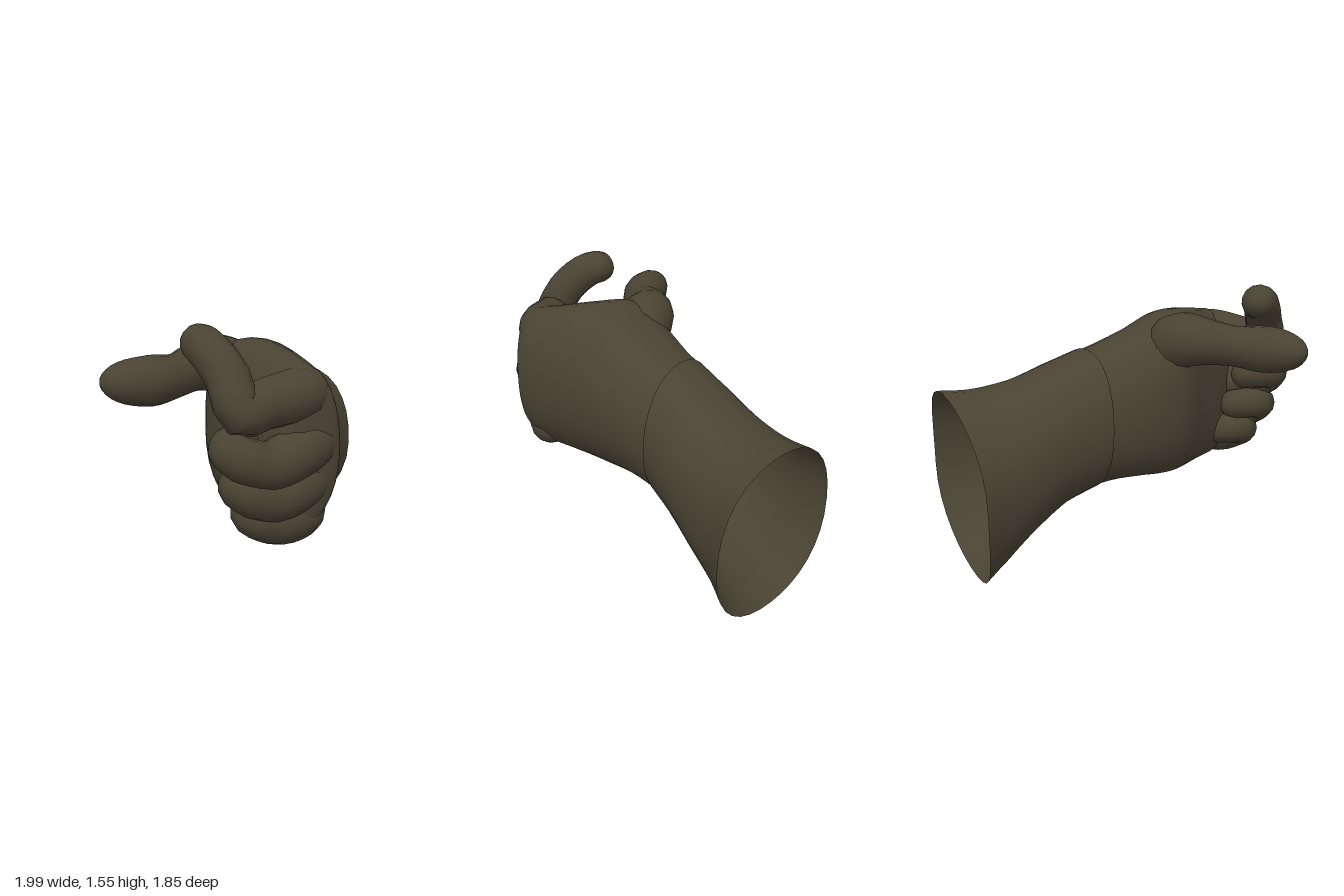
import * as THREE from 'three';

const leather = new THREE.MeshStandardMaterial({ color: 0x4a4333, side: THREE.DoubleSide });
leather.name = 'dark olive leather';

// Skin a list of closed rings (arrays of Vector3); optionally close the first and last ring
function skin(name, rings, capStart, capEnd) {
  const n = rings[0].length, pos = [], idx = [];
  rings.forEach(r => r.forEach(p => pos.push(p.x, p.y, p.z)));
  for (let i = 0; i < rings.length - 1; i++) {
    for (let j = 0; j < n; j++) {
      const a = i * n + j, b = i * n + (j + 1) % n;
      idx.push(a, b, a + n, b, b + n, a + n);
    }
  }
  const cap = (i, flip) => {
    const c = rings[i].reduce((s, p) => s.add(p), new THREE.Vector3()).divideScalar(n);
    const k = pos.length / 3;
    pos.push(c.x, c.y, c.z);
    for (let j = 0; j < n; j++) {
      const a = i * n + j, b = i * n + (j + 1) % n;
      flip ? idx.push(b, a, k) : idx.push(a, b, k);
    }
  };
  if (capStart) cap(0, true);
  if (capEnd) cap(rings.length - 1, false);
  const g = new THREE.BufferGeometry();
  g.setAttribute('position', new THREE.Float32BufferAttribute(pos, 3));
  g.setIndex(idx);
  g.computeVertexNormals();
  const m = new THREE.Mesh(g, leather);
  m.name = name;
  return m;
}

// Sections: [palm side x, z, back side x, z, bottom y, top y, shift of the top, shift of the bottom]
function sleeve(name, sections, power, steps, capEnd) {
  const curve = f => new THREE.CatmullRomCurve3(sections.map(f));
  const palm = curve(s => new THREE.Vector3(s[0], 0, s[1]));
  const back = curve(s => new THREE.Vector3(s[2], 0, s[3]));
  const high = curve(s => new THREE.Vector3(s[4], s[5], 0));
  const lean = curve(s => new THREE.Vector3(s[6], s[7], 0));
  const rings = [];
  const bend = v => Math.sign(v) * Math.pow(Math.abs(v), power);
  for (let i = 0; i <= steps; i++) {
    const t = i / steps;
    const l = palm.getPoint(t), r = back.getPoint(t), h = high.getPoint(t), s = lean.getPoint(t);
    const ring = [];
    for (let j = 0; j < 32; j++) {
      const a = j / 32 * Math.PI * 2, u = bend(Math.cos(a)), v = bend(Math.sin(a));
      const p = l.clone().lerp(r, 0.5 + u / 2);
      p.y = (h.x + h.y) / 2 + v * (h.y - h.x) / 2;
      p.x += v * v * (v > 0 ? s.x : s.y);
      ring.push(p);
    }
    rings.push(ring);
  }
  return skin(name, rings, false, capEnd);
}

// Round-ended finger through points [x, y, z, radius]
function finger(name, pts) {
  const steps = 30, n = 14;
  const curve = new THREE.CatmullRomCurve3(pts.map(p => new THREE.Vector3(p[0], p[1], p[2])));
  const radius = new THREE.CatmullRomCurve3(pts.map((p, i) => new THREE.Vector3(i, p[3], 0)));
  const rings = [], length = curve.getLength();
  let side = new THREE.Vector3(0.1, 1, 0.2);
  for (let i = 0; i <= steps; i++) {
    const t = (1 - Math.cos(i / steps * Math.PI)) / 2;
    const c = curve.getPoint(t), d = curve.getTangent(t), r0 = radius.getPoint(t).y;
    side = side.clone().addScaledVector(d, -side.dot(d)).normalize();
    const up = d.clone().cross(side);
    const e = Math.min(1, Math.min(t, 1 - t) * length / r0);
    const r = r0 * Math.sqrt(Math.max(0.002, 1 - (1 - e) * (1 - e)));
    rings.push(Array.from({ length: n }, (_, j) => {
      const a = j / n * Math.PI * 2;
      return c.clone().addScaledVector(side, r * Math.cos(a)).addScaledVector(up, r * Math.sin(a));
    }));
  }
  return skin(name, rings, true, true);
}

export function createModel() {
  const glove = new THREE.Group();
  glove.name = 'glove';

  // Flared open cuff
  glove.add(sleeve('cuff', [
    [0.23, -0.92, 0.99, -0.41, 0.02, 1.05, 0.09, -0.09],
    [0.20, -0.78, 0.84, -0.33, 0.10, 1.05, 0.06, -0.06],
    [0.12, -0.60, 0.69, -0.20, 0.24, 1.09, 0.02, -0.03],
    [0.01, -0.42, 0.56, -0.07, 0.38, 1.17, -0.01, -0.02],
    [-0.12, -0.25, 0.44, 0.05, 0.46, 1.24, -0.02, -0.02],
  ], 0.95, 20, false));

  // Wrist, palm and rounded back of the hand
  glove.add(sleeve('hand', [
    [-0.08, -0.27, 0.44, 0.02, 0.46, 1.22, -0.02, -0.02],
    [-0.17, -0.17, 0.38, 0.12, 0.48, 1.26, -0.03, -0.03],
    [-0.29, -0.03, 0.30, 0.25, 0.48, 1.34, -0.07, -0.04],
    [-0.38, 0.14, 0.21, 0.41, 0.47, 1.43, -0.10, -0.05],
    [-0.38, 0.38, 0.11, 0.58, 0.48, 1.41, -0.05, -0.06],
    [-0.38, 0.58, 0.03, 0.73, 0.49, 1.38, -0.01, -0.07],
    [-0.37, 0.72, -0.02, 0.82, 0.52, 1.36, 0, -0.07],
    [-0.34, 0.82, -0.06, 0.87, 0.60, 1.29, 0, -0.05],
    [-0.28, 0.86, -0.13, 0.88, 0.74, 1.14, 0, -0.02],
  ], 0.92, 36, true));

  // Thumb pointing sideways from a thick base
  glove.add(finger('thumb', [
    [-0.12, 1.19, 0.22, 0.14], [-0.31, 1.285, 0.165, 0.155], [-0.46, 1.29, 0.175, 0.125],
    [-0.60, 1.27, 0.235, 0.11], [-0.76, 1.265, 0.26, 0.125], [-1.0, 1.275, 0.215, 0.09],
  ]));

  // Index finger bent up and back
  glove.add(finger('indexFinger', [
    [-0.08, 1.23, 0.70, 0.11], [-0.22, 1.23, 0.76, 0.13], [-0.42, 1.21, 0.77, 0.12],
    [-0.56, 1.19, 0.79, 0.11], [-0.58, 1.35, 0.70, 0.105], [-0.61, 1.46, 0.56, 0.10],
    [-0.62, 1.48, 0.42, 0.08],
  ]));

  // Three fingers curled in towards the palm: [name, knuckle y, middle y, bend y, reach, z]
  [
    ['middleFinger', 1.00, 0.92, 1.01, -0.61, 0.81],
    ['ringFinger', 0.82, 0.75, 0.82, -0.55, 0.79],
    ['littleFinger', 0.65, 0.61, 0.66, -0.46, 0.75],
  ].forEach(([name, y0, y1, y2, x, z]) => glove.add(finger(name, [
    [-0.07, y0, z - 0.09, 0.11], [-0.20, y0 - 0.02, z - 0.02, 0.13], [x * 0.70, y1, z - 0.01, 0.12],
    [x, y2, z - 0.03, 0.10], [x + 0.05, y2 + 0.01, z - 0.11, 0.09],
    [x + 0.20, y2 - 0.02, z - 0.14, 0.085],
  ])));

  return glove;
}
